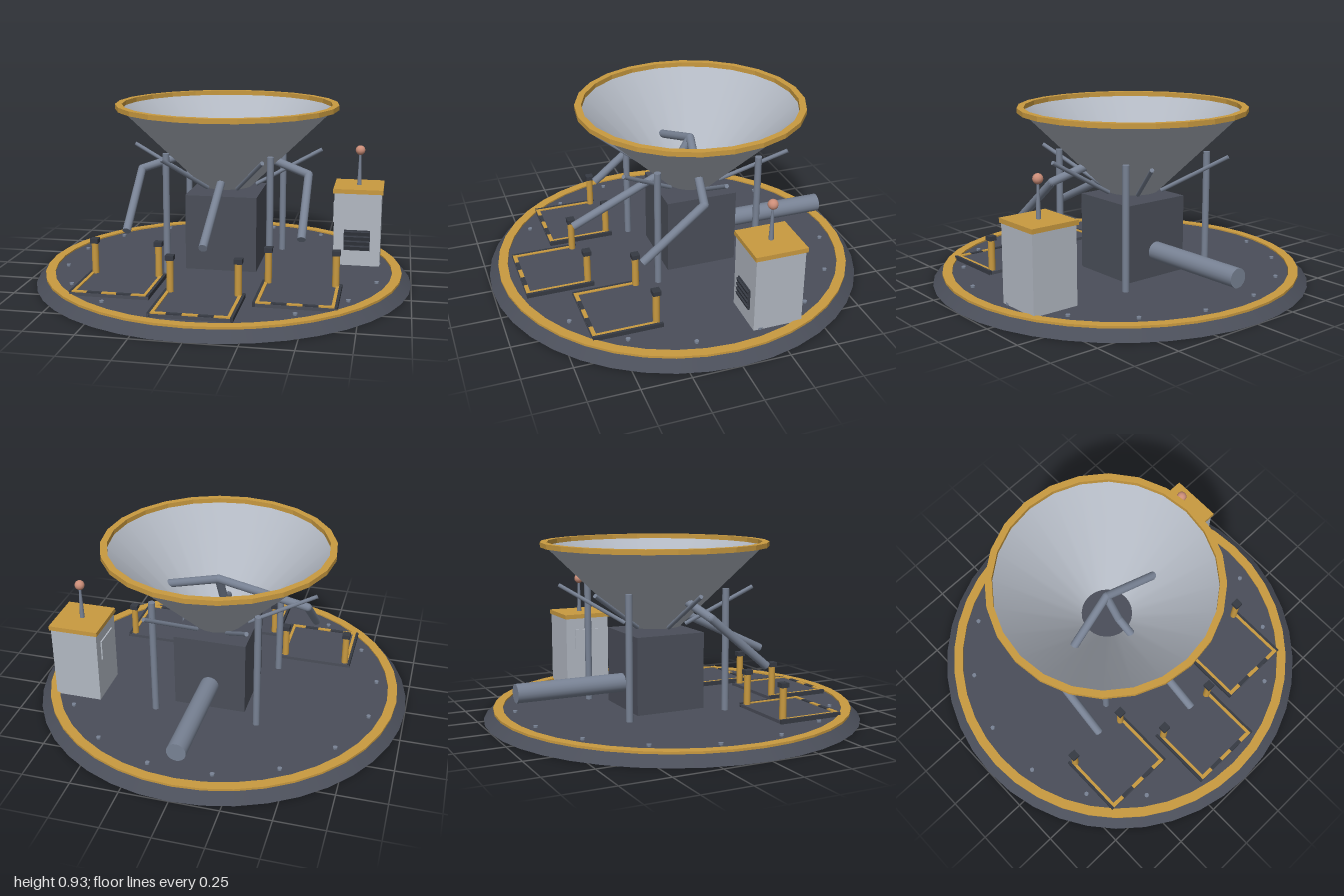
import * as THREE from 'three';

const mat = (name, color, side = THREE.FrontSide) => {
  const m = new THREE.MeshStandardMaterial({ color, side });
  m.name = name;
  return m;
};

export function createModel() {
  const dark = mat('dark steel', 0x4a4e59);
  const black = mat('charcoal', 0x363a43);
  const yellow = mat('safety yellow', 0xc99a40);
  const pipeGrey = mat('pipe grey', 0x788294);
  const light = mat('light grey', 0xb2b8c2);
  const lightOpen = mat('bowl grey', 0xb2b8c2, THREE.DoubleSide);
  const copper = mat('copper', 0xcb8d78);

  const root = new THREE.Group();
  const V = (x, y, z) => new THREE.Vector3(x, y, z);

  const add = (name, geo, m, x = 0, y = 0, z = 0, parent = root) => {
    const mesh = new THREE.Mesh(geo, m);
    mesh.name = name;
    mesh.position.set(x, y, z);
    parent.add(mesh);
    return mesh;
  };
  const box = (name, w, h, d, m, x, y, z, parent) =>
    add(name, new THREE.BoxGeometry(w, h, d), m, x, y, z, parent);
  const group = (name, x = 0, y = 0, z = 0) => {
    const g = new THREE.Group();
    g.name = name;
    g.position.set(x, y, z);
    root.add(g);
    return g;
  };
  // Round bar between two points
  const rod = (name, a, b, r, m, parent = root, sides = 12) => {
    const dir = b.clone().sub(a);
    const mesh = add(name, new THREE.CylinderGeometry(r, r, dir.length(), sides), m, 0, 0, 0, parent);
    mesh.position.copy(a).add(b).multiplyScalar(0.5);
    mesh.quaternion.setFromUnitVectors(V(0, 1, 0), dir.normalize());
    return mesh;
  };
  // Flat ring lying in xz, bottom at y = 0
  const ring = (outer, inner, h, sides) => {
    const circle = (r) => Array.from({ length: sides }, (_, i) => {
      const a = (i / sides) * Math.PI * 2;
      return new THREE.Vector2(Math.cos(a) * r, Math.sin(a) * r);
    });
    const s = new THREE.Shape(circle(outer));
    s.holes.push(new THREE.Path(circle(inner)));
    return new THREE.ExtrudeGeometry(s, { depth: h, bevelEnabled: false }).rotateX(-Math.PI / 2);
  };

  // Base platform, edge ring and bolts
  add('basePlatform', new THREE.CylinderGeometry(0.945, 1, 0.052, 40), dark, 0, 0.026, 0);
  add('edgeRing', ring(0.95, 0.9, 0.012, 40), yellow, 0, 0.048, 0);
  for (let i = 0; i < 16; i++) {
    const a = ((i + 0.5) / 16) * Math.PI * 2;
    add('deckBolt', new THREE.CylinderGeometry(0.012, 0.012, 0.012, 8), pipeGrey,
      Math.cos(a) * 0.84, 0.056, Math.sin(a) * 0.84);
  }

  // Central machine housing and rear pipe
  const cz = -0.1;
  box('machineHousing', 0.38, 0.405, 0.38, dark, 0, 0.2525, cz);
  rod('rearPipe', V(0, 0.19, -0.28), V(0, 0.19, -0.87), 0.049, pipeGrey, root, 20);

  // Hopper bowl and rim
  const bowl = [new THREE.Vector2(0.135, 0.48), new THREE.Vector2(0.575, 0.91)];
  add('hopperBowl', new THREE.LatheGeometry(bowl, 24).rotateY(Math.PI / 2), lightOpen, 0, 0, cz);
  add('hopperRim', ring(0.595, 0.56, 0.025, 24), yellow, 0, 0.9, cz);

  // Four support legs
  for (const sx of [-1, 1]) for (const sz of [-1, 1]) {
    const x = sx * 0.272, z = cz + sz * 0.272;
    rod('supportLeg', V(x, 0.05, z), V(x, 0.69, z), 0.018, pipeGrey);
  }
  // Six sloping braces under the bowl
  for (let i = 0; i < 6; i++) {
    const a = (i / 6) * Math.PI * 2, c = Math.cos(a), s = Math.sin(a);
    rod('bowlBrace', V(c * 0.16, 0.49, cz + s * 0.16), V(c * 0.51, 0.69, cz + s * 0.51), 0.011, pipeGrey, root, 8);
  }

  // Three delivery chutes: apex, elbow, outlet
  const chutes = group('deliveryChutes');
  for (const [x, endZ] of [[-0.45, 0.31], [0, 0.55], [0.45, 0.31]]) {
    const pts = [V(0, 0.72, cz), V(x, 0.57, -0.01), V(x, 0.305, endZ)];
    for (let i = 0; i < 2; i++) {
      rod('chutePipe', pts[i], pts[i + 1], 0.022, pipeGrey, chutes);
      add('chuteElbow', new THREE.SphereGeometry(0.022, 12, 8), pipeGrey, pts[i].x, pts[i].y, pts[i].z, chutes);
    }
  }

  // Three loading bays with striped edges and bollards
  for (const [x, z] of [[-0.455, 0.45], [0, 0.675], [0.455, 0.45]]) {
    const bay = group('loadingBay', x, 0, z);
    box('bayPlate', 0.4, 0.018, 0.355, dark, 0, 0.06, 0, bay);
    for (const s of [-1, 1]) {
      box('bayKerb', 0.014, 0.024, 0.355, black, s * 0.195, 0.062, 0, bay);
      box('sideStripe', 0.016, 0.008, 0.33, yellow, s * 0.18, 0.07, 0.005, bay);
      add('bollard', new THREE.CylinderGeometry(0.018, 0.018, 0.18, 12), yellow, s * 0.17, 0.15, -0.15, bay);
      box('bollardCap', 0.042, 0.024, 0.042, black, s * 0.17, 0.243, -0.15, bay);
    }
    for (let i = 0; i < 5; i++) {
      box('frontStripe', 0.0752, 0.008, 0.02, i % 2 ? black : yellow, (i - 2) * 0.0752, 0.071, 0.166, bay);
    }
  }

  // Control cabinet with roof, vent, side panel and antenna
  const cab = group('controlCabinet', 0.705, 0, -0.255);
  box('cabinetBody', 0.25, 0.4, 0.255, light, 0, 0.25, 0, cab);
  box('cabinetRoof', 0.265, 0.024, 0.27, yellow, 0, 0.462, 0, cab);
  box('ventBack', 0.14, 0.112, 0.008, black, 0, 0.194, 0.13, cab);
  for (let i = 0; i < 4; i++) {
    const slat = box('ventSlat', 0.136, 0.02, 0.012, black, 0, 0.153 + i * 0.027, 0.136, cab);
    slat.rotation.x = 0.3;
  }
  box('accessPanel', 0.009, 0.11, 0.15, light, -0.128, 0.33, 0, cab);
  add('antennaMast', new THREE.CylinderGeometry(0.006, 0.013, 0.18, 10), pipeGrey, 0, 0.56, 0, cab);
  add('beacon', new THREE.SphereGeometry(0.026, 16, 12), copper, 0, 0.665, 0, cab);

  return root;
}
